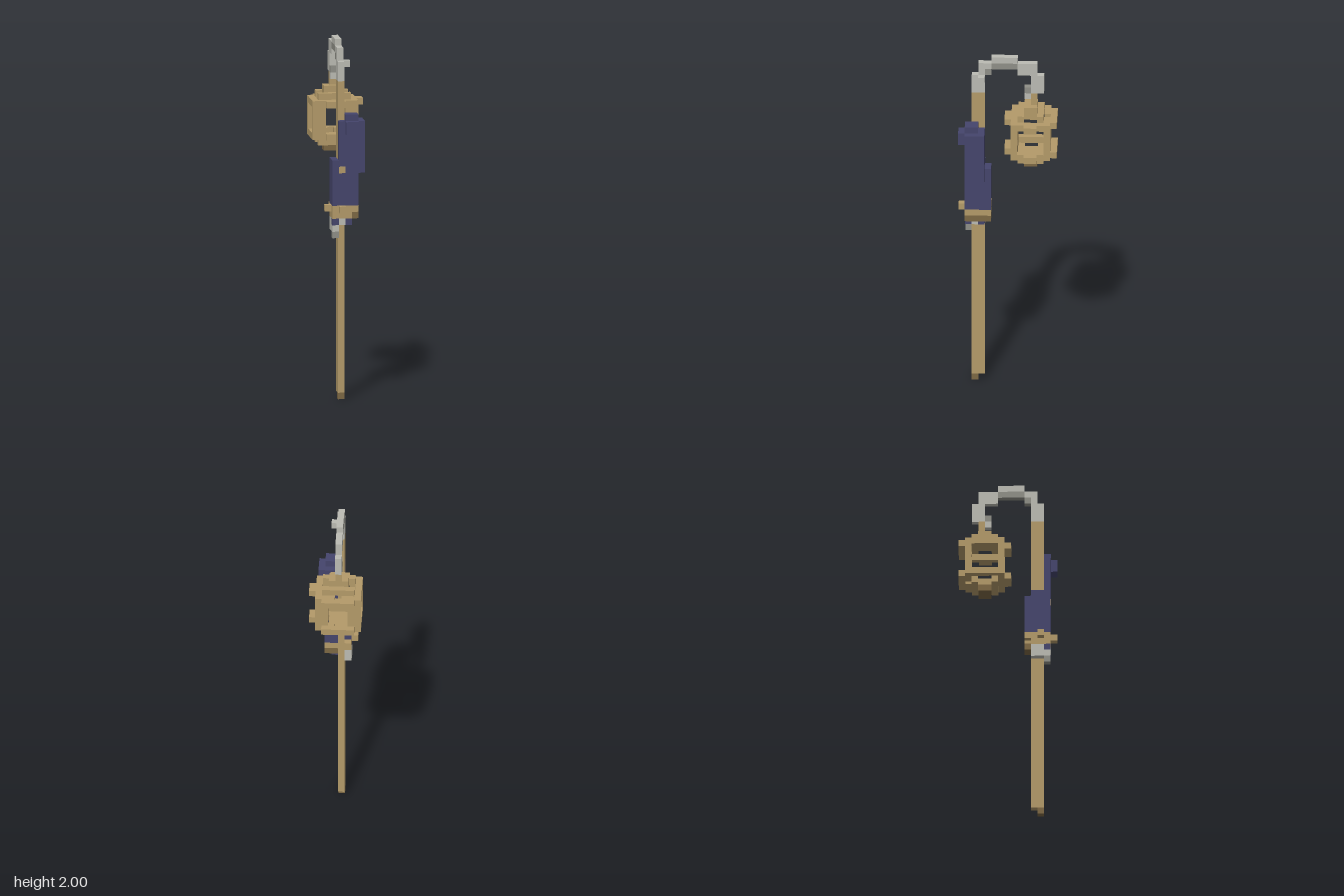
import * as THREE from 'three';

// All sizes below are in block units; U converts them to model units.
const U = 2 / 55;

const mat = (name, color) => {
  const m = new THREE.MeshStandardMaterial({ color });
  m.name = name;
  return m;
};

export function createModel() {
  const wood = mat('wood', 0xb39a69);
  const darkWood = mat('darkWood', 0x7d6844);
  const silver = mat('silver', 0xbbbbb3);
  const darkSilver = mat('darkSilver', 0x8f8f87);
  const cloth = mat('cloth', 0x45456c);

  const model = new THREE.Group();
  model.name = 'lanternStaff';

  const group = (name) => {
    const g = new THREE.Group();
    g.name = name;
    model.add(g);
    return g;
  };

  // Block from ranges x0..x1, y0..y1, z0..z1 (z counted from the back)
  const block = (parent, name, material, x0, x1, y0, y1, z0, z1) => {
    const mesh = new THREE.Mesh(
      new THREE.BoxGeometry((x1 - x0) * U, (y1 - y0) * U, (z1 - z0) * U), material);
    mesh.position.set((x0 + x1) / 2 * U, (y0 + y1) / 2 * U, ((z0 + z1) / 2 - 7.5) * U);
    mesh.name = name;
    parent.add(mesh);
  };

  // Pole
  const pole = group('pole');
  block(pole, 'poleShaft', wood, -1, 0, 1, 49, 11, 13);
  block(pole, 'poleTip', darkWood, -1, 0, 0, 1, 12, 13);

  // Curved silver hook
  const hook = group('hook');
  block(hook, 'hookSocket', silver, -1, 0, 49, 52, 11, 13);
  block(hook, 'hookFrontBend', silver, -1, 0, 52, 54, 11, 12);
  block(hook, 'hookFrontShoulder', silver, -1, 0, 53, 54, 10, 11);
  block(hook, 'hookInnerCorner', darkSilver, -1, 0, 52, 53, 10, 11);
  block(hook, 'hookTop', silver, -1, 0, 54, 55, 6, 10);
  block(hook, 'hookUnderside', darkSilver, -1, 0, 53, 54, 6, 10);
  block(hook, 'hookBackShoulder', silver, -1, 0, 52, 54, 3, 6);
  block(hook, 'hookBackDrop', silver, -1, 0, 49, 52, 2, 4);
  block(hook, 'hookPoint', silver, -1, 0, 48, 49, 4, 5);
  block(hook, 'hookPointJoint', darkSilver, -1, 0, 49, 50, 4, 5);
  block(hook, 'hookStud', silver, 0, 1, 51, 52, 11, 12);

  // Cloth wrapped around the pole
  const wrap = group('clothWrap');
  block(wrap, 'wrapCrown', cloth, 0, 2, 43, 44, 12, 14);
  block(wrap, 'wrapKnot', cloth, 0, 2, 41, 43, 14, 15);
  block(wrap, 'wrapFront', cloth, -1, 3, 35, 43, 13, 14);
  block(wrap, 'wrapUpperSide', cloth, 0, 2, 35, 43, 11, 13);
  block(wrap, 'wrapFlap', cloth, 2, 3, 35, 43, 11, 13);
  block(wrap, 'wrapLowerFront', cloth, -2, 2, 30, 35, 13, 14);
  block(wrap, 'wrapLowerSide', cloth, 0, 2, 30, 35, 11, 13);
  block(wrap, 'wrapLeftFold', cloth, -2, -1, 30, 37, 11, 14);
  block(wrap, 'wrapBackFold', cloth, 0, 2, 30, 37, 10, 11);
  block(wrap, 'wrapButton', wood, -1, 0, 35, 36, 13.9, 14.05);

  // Cord tied round the lower edge, with cloth and silver ends
  const cord = group('cord');
  block(cord, 'cordBand', wood, -2, 2, 29, 30, 11, 14);
  block(cord, 'cordLowerBand', wood, -2, 1, 28, 29, 11, 14);
  block(cord, 'cordShadedEnd', darkWood, 1, 2, 28, 29, 11, 14);
  block(cord, 'cordBackLeft', wood, -2, -1, 29, 30, 10, 11);
  block(cord, 'cordBackRight', wood, 0, 2, 29, 30, 10, 11);
  block(cord, 'cordBackLower', darkWood, 0, 2, 28, 29, 10, 11);
  block(cord, 'cordSideKnot', wood, -3, -2, 29, 30, 12, 13);
  block(cord, 'cordFrontKnot', wood, -1, 0, 29, 30, 14, 15);
  block(cord, 'clothEndFront', cloth, -2, -1, 27, 28, 13, 14);
  block(cord, 'clothEndSide', cloth, 0, 1, 27, 28, 11, 12);
  block(cord, 'clothEndCorner', cloth, 0, 1, 27, 28, 13, 14);
  block(cord, 'silverEndFront', silver, -1, 0, 27, 28, 13, 14);
  block(cord, 'silverEndSide', silver, 0, 1, 27, 28, 12, 13);
  block(cord, 'silverTagUpper', silver, -2, -1, 26, 28, 11, 13);
  block(cord, 'silverTag', silver, -2, -1, 26, 27, 13, 14);
  block(cord, 'silverTagTip', darkSilver, -2, -1, 25, 26, 13, 14);

  // Hanging lantern: matching top and bottom rims with stepped caps
  const lantern = group('lantern');
  block(lantern, 'lanternHanger', wood, -1, 0, 47, 49, 3, 4);
  for (const [label, rim, cap, peak, shade] of [
    ['top', 44, 45, 46, wood], ['bottom', 39, 38, 37, darkWood]]) {
    const ring = [
      [-4, -3, 1, 7], [2, 3, 1, 7], [-3, -1, 1, 2], [0, 2, 1, 2],
      [-3, 2, 0, 1], [-3, 2, 6, 7], [-2, 1, 7, 8], [3, 4, 3, 5]];
    for (const [x0, x1, z0, z1] of ring)
      block(lantern, label + 'Rim', wood, x0, x1, rim, rim + 1, z0, z1);
    for (const [x0, x1, z0, z1] of [[-3, 2, 2, 3], [-3, 2, 5, 6], [-2, 1, 3, 5]])
      block(lantern, label + 'Cap', wood, x0, x1, cap, cap + 1, z0, z1);
    block(lantern, label + 'Peak', shade, -2, 1, peak, peak + 1, 3, 5);
  }
  // Corner posts
  for (const x of [-4, 1])
    for (const z of [1, 6])
      block(lantern, 'lanternPost', wood, x, x + 2, 40, 44, z, z + 1);

  return model;
}
